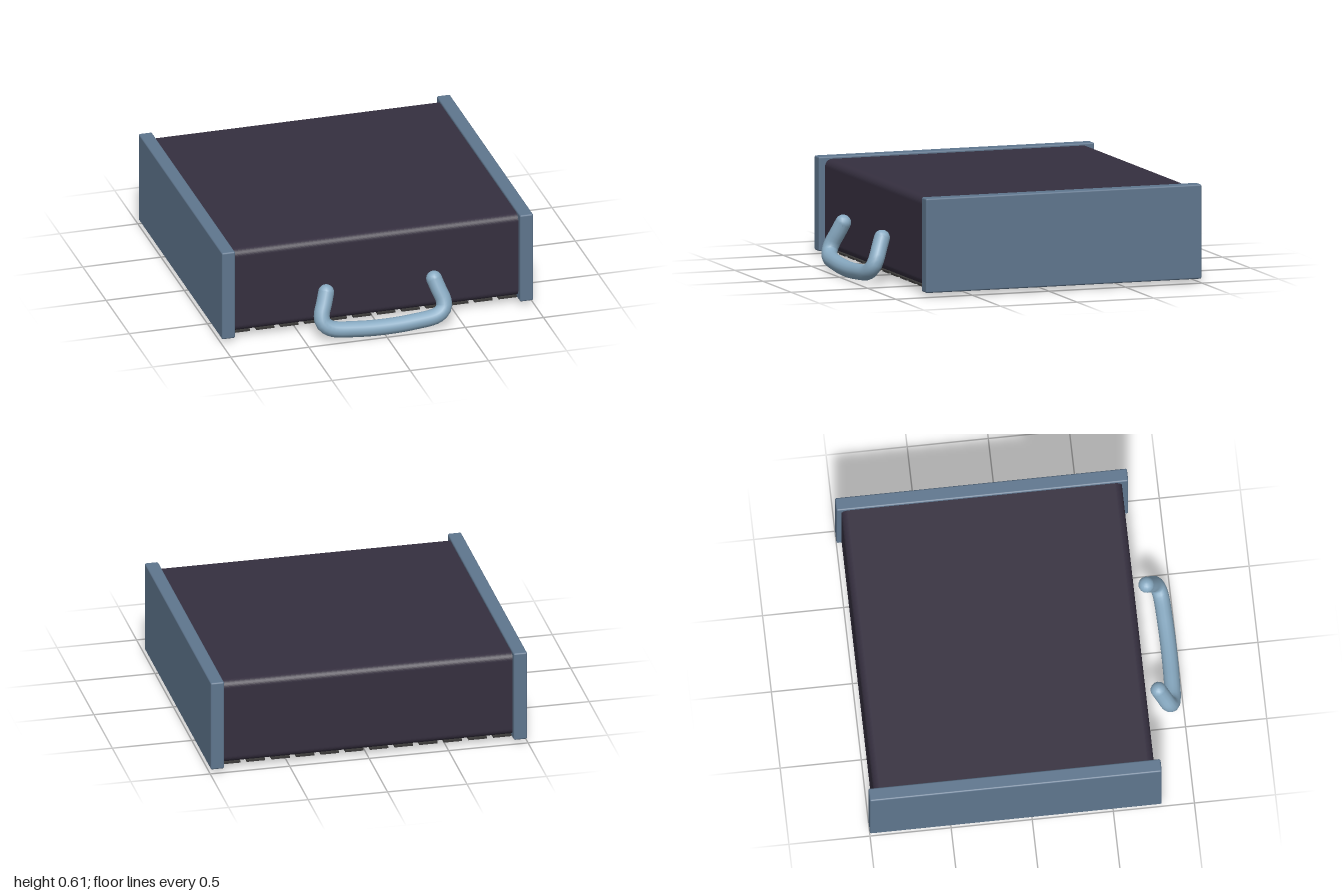
import * as THREE from 'three';
import { RoundedBoxGeometry } from 'three/addons/geometries/RoundedBoxGeometry.js';

const mat = (color) => new THREE.MeshStandardMaterial({ color });

function add(parent, name, geometry, material, x = 0, y = 0, z = 0) {
  const mesh = new THREE.Mesh(geometry, material);
  mesh.name = name;
  mesh.position.set(x, y, z);
  parent.add(mesh);
  return mesh;
}

// Rounded rectangle used as the case cross-section
function roundedRect(w, h, r) {
  const s = new THREE.Shape();
  s.absarc(w / 2 - r, h / 2 - r, r, 0, Math.PI / 2);
  s.absarc(-w / 2 + r, h / 2 - r, r, Math.PI / 2, Math.PI);
  s.absarc(-w / 2 + r, -h / 2 + r, r, Math.PI, Math.PI * 1.5);
  s.absarc(w / 2 - r, -h / 2 + r, r, Math.PI * 1.5, Math.PI * 2);
  s.closePath();
  return s;
}

export function createModel() {
  const group = new THREE.Group();
  const caseMat = mat(0x352f3f);
  const plateMat = mat(0x5f768e);
  const handleMat = mat(0x88aac2);
  const tileMat = mat(0x3a3938);

  // Case body, its rounded section running from side to side
  const bodyGeo = new THREE.ExtrudeGeometry(roundedRect(1.73, 0.55, 0.045), {
    depth: 1.84, bevelEnabled: false, curveSegments: 5,
  });
  bodyGeo.translate(0, 0, -0.92).rotateY(Math.PI / 2);
  add(group, 'caseBody', bodyGeo, caseMat, 0, 0.325, -0.105);

  // Side plates
  for (const side of [-1, 1]) {
    add(group, side > 0 ? 'leftPlate' : 'rightPlate',
      new RoundedBoxGeometry(0.085, 0.585, 1.8, 2, 0.01), plateMat,
      side * 0.953, 0.3225, -0.1);
  }

  // Grid of thin tiles under the case
  const tiles = new THREE.Group();
  tiles.name = 'bottomTiles';
  const tileGeo = new THREE.BoxGeometry(0.115, 0.012, 0.115);
  const pitch = 0.155, columns = 12, rows = 11;
  for (let i = 0; i < columns; i++) {
    for (let j = 0; j < rows; j++) {
      add(tiles, 'tile', tileGeo, tileMat,
        (i - (columns - 1) / 2) * pitch, 0.037, -0.105 + (j - (rows - 1) / 2) * pitch);
    }
  }
  group.add(tiles);

  // Carrying handle, lying in a plane tilted away from the front
  const radius = 0.05;
  const half = [[0.345, 0.288], [0.365, 0.23], [0.39, 0.16], [0.385, 0.118], [0.34, 0.082], [0.18, 0.061]];
  const toPoint = (x, y) => new THREE.Vector3(x, y, 0.85 + (0.288 - y) * 0.428);
  const path = [
    ...half.map(([x, y]) => toPoint(-x, y)),
    toPoint(0, 0.054),
    ...half.slice().reverse().map(([x, y]) => toPoint(x, y)),
  ];
  const curve = new THREE.CatmullRomCurve3(path, false, 'centripetal');
  const handle = new THREE.Group();
  handle.name = 'handle';
  add(handle, 'handleGrip', new THREE.TubeGeometry(curve, 48, radius, 14), handleMat);
  for (const end of [path[0], path[path.length - 1]]) {
    add(handle, 'handleEnd', new THREE.SphereGeometry(radius, 14, 10), handleMat, end.x, end.y, end.z);
  }
  group.add(handle);

  return group;
}
